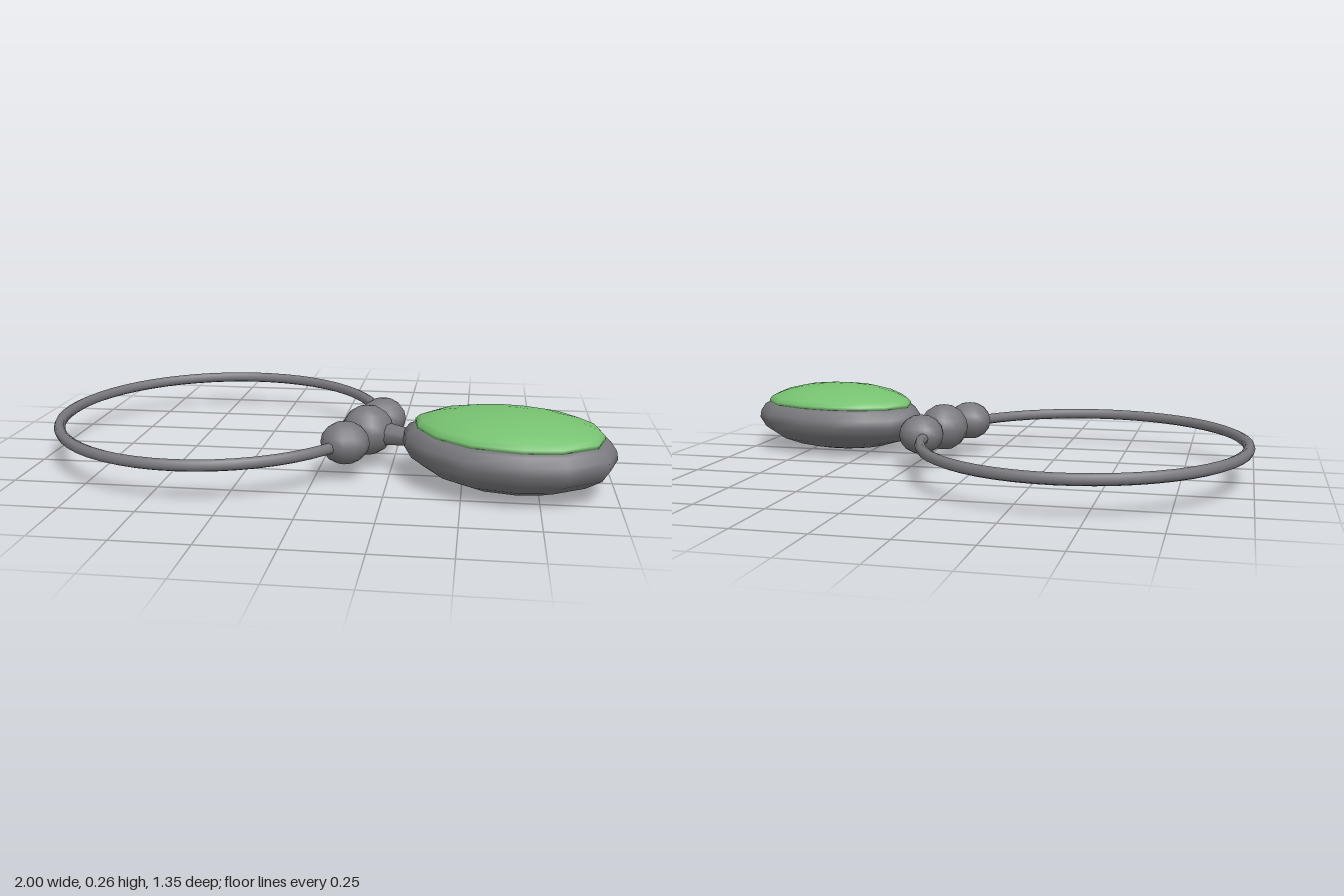
import * as THREE from 'three';

const MID = 0.125; // height of the ring plane
const CENTRE = [0.65, 0.335]; // pendant centre in x, z

// Faceted oval outline of the pendant, x and z, clockwise from above
const OUTLINE = [
  [0.29, 0.21], [0.36, 0.11], [0.46, 0.07], [0.59, 0.05], [0.74, 0.075], [0.89, 0.145], [0.98, 0.26],
  [0.998, 0.375], [0.96, 0.51], [0.83, 0.6], [0.695, 0.617], [0.51, 0.57], [0.38, 0.46], [0.305, 0.32],
];

// Closed shell: the outline scaled at each [scale, y] step, bottom to top, with a pole at each end
function ovalShell(profile, bottomY, topY) {
  const n = OUTLINE.length, pos = [], index = [];
  for (const [s, y] of profile) {
    for (const [x, z] of OUTLINE) {
      pos.push(CENTRE[0] + (x - CENTRE[0]) * s, y, CENTRE[1] + (z - CENTRE[1]) * s);
    }
  }
  const low = pos.length / 3, high = low + 1, last = (profile.length - 1) * n;
  pos.push(CENTRE[0], bottomY, CENTRE[1], CENTRE[0], topY, CENTRE[1]);
  for (let j = 0; j < n; j++) {
    const k = (j + 1) % n;
    for (let i = 0; i < profile.length - 1; i++) {
      const a = i * n + j, b = i * n + k, c = a + n, d = b + n;
      index.push(a, c, b, b, c, d);
    }
    index.push(low, j, k, high, last + k, last + j);
  }
  const g = new THREE.BufferGeometry();
  g.setAttribute('position', new THREE.Float32BufferAttribute(pos, 3));
  g.setIndex(index);
  g.computeVertexNormals();
  return g;
}

export function createModel() {
  const group = new THREE.Group();
  const metal = new THREE.MeshStandardMaterial({ name: 'greyMetal', color: 0x7a797e });
  const green = new THREE.MeshStandardMaterial({ name: 'greenStone', color: 0x77c271 });
  const add = (name, geometry, material) => {
    const mesh = new THREE.Mesh(geometry, material);
    mesh.name = name;
    group.add(mesh);
    return mesh;
  };

  // Thin oval hoop
  const hoop = add('hoop', new THREE.TorusGeometry(1, 0.02, 8, 56), metal);
  const p = hoop.geometry.attributes.position, nrm = hoop.geometry.attributes.normal;
  for (let i = 0; i < p.count; i++) {
    const t = Math.atan2(p.getY(i), p.getX(i));
    const r = Math.hypot(p.getX(i), p.getY(i)) - 1;
    p.setXYZ(i, -0.4 + (0.58 + r) * Math.cos(t), MID + p.getZ(i), -0.005 - (0.655 + r) * Math.sin(t));
    nrm.setXYZ(i, nrm.getX(i), nrm.getZ(i), -nrm.getY(i));
  }

  // Three beads threaded on the hoop
  for (const [name, x, z, r, ry, turn] of [
    ['backBead', 0.2, -0.028, 0.084, 0.073, 0],
    ['middleBead', 0.163, 0.152, 0.092, 0.088, -0.25],
    ['frontBead', 0.105, 0.328, 0.084, 0.073, -0.5],
  ]) {
    const bead = add(name, new THREE.SphereGeometry(1, 12, 8), metal);
    bead.scale.set(r, ry, r);
    bead.position.set(x, MID + 0.005, z);
    bead.rotation.y = turn;
  }

  // Tapered link from the middle bead to the pendant
  const from = new THREE.Vector3(0.19, MID, 0.16), to = new THREE.Vector3(0.36, MID, 0.235);
  const dir = to.clone().sub(from);
  const link = add('link', new THREE.CylinderGeometry(0.024, 0.045, dir.length(), 8), metal);
  link.position.copy(from).lerp(to, 0.5);
  link.quaternion.setFromUnitVectors(new THREE.Vector3(0, 1, 0), dir.normalize());

  // Pendant setting: a rounded oval dish
  add('pendantSetting', ovalShell([
    [0.3, 0.007], [0.55, 0.023], [0.78, 0.05], [0.93, 0.083], [1, 0.122], [0.985, 0.15], [0.93, 0.178], [0.86, 0.188],
  ], 0, 0.188), metal);

  // Domed stone on top
  add('stone', ovalShell([
    [0.88, 0.186], [0.875, 0.198], [0.83, 0.213], [0.68, 0.234], [0.48, 0.25], [0.24, 0.259],
  ], 0.186, 0.262), green);

  return group;
}
